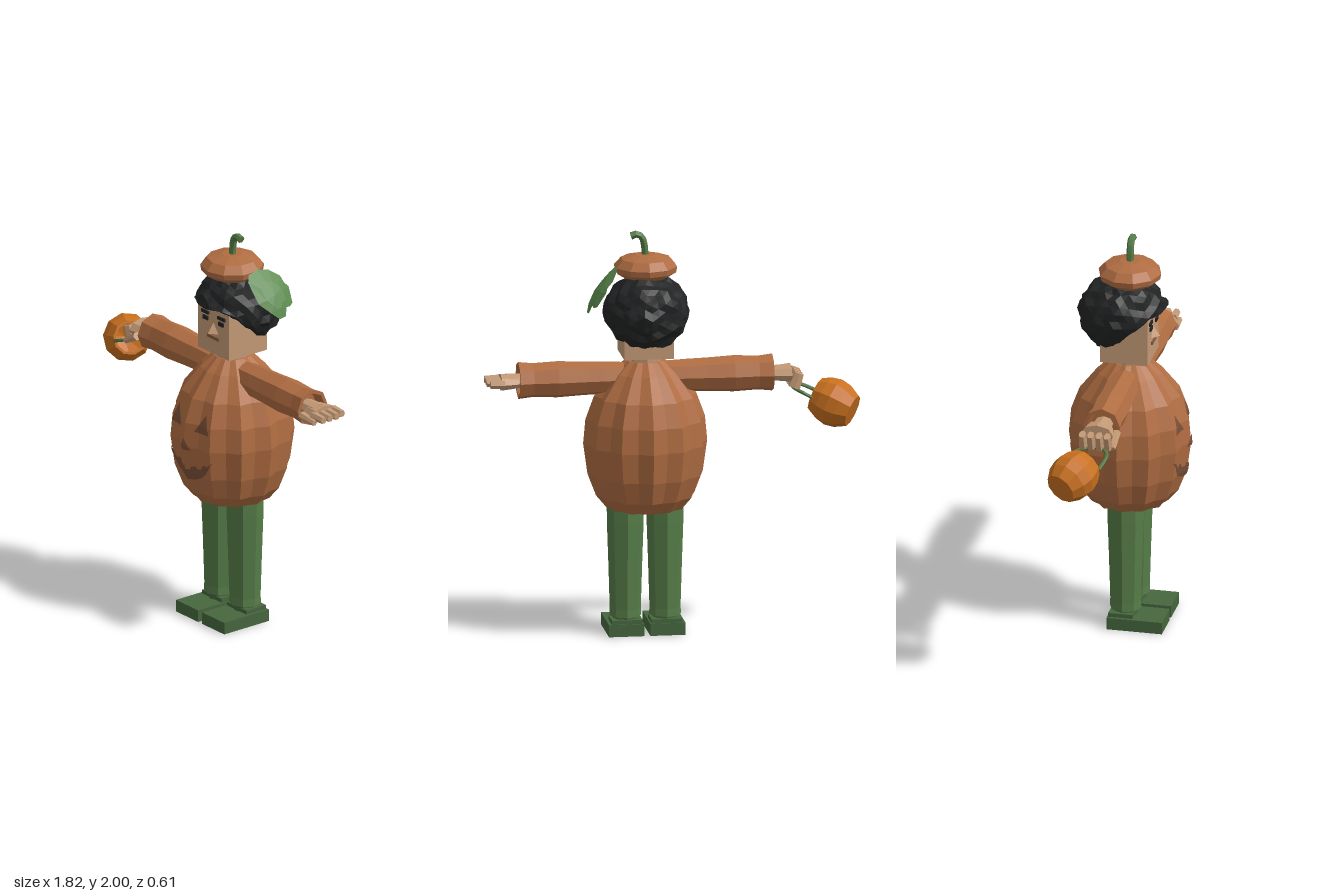
import * as THREE from 'three';

const mat = (name, color, extra = {}) => {
  const m = new THREE.MeshStandardMaterial({ color, flatShading: true, ...extra });
  m.name = name;
  return m;
};
const CX = 0.127; // body axis

// Pumpkin torso profile: [ridge radius, height]
const BODY = [[0, 0.63], [0.19, 0.63], [0.24, 0.69], [0.282, 0.8], [0.303, 0.95], [0.292, 1.07],
  [0.25, 1.185], [0.16, 1.3], [0.095, 1.36], [0, 1.37]];
const GROOVE = 0.92;

// Height of the torso's front surface in z at an offset dx from its axis
function bodyZ(dx, y) {
  const i = BODY.findIndex((p, k) => k > 1 && p[1] >= y);
  const [r0, y0] = BODY[i - 1], [r1, y1] = BODY[i];
  const R = r0 + (r1 - r0) * (y - y0) / (y1 - y0);
  const pt = k => {
    const r = R * (k % 2 ? GROOVE : 1), a = k * Math.PI / 12;
    return [r * Math.sin(a), r * Math.cos(a)];
  };
  const x = Math.abs(dx);
  for (let k = 0; k < 6; k++) {
    const [xa, za] = pt(k), [xb, zb] = pt(k + 1);
    if (x <= xb) return za + (zb - za) * (x - xa) / (xb - xa);
  }
  return 0;
}

// Patch hugging the torso between a lower and an upper curve
function carving(x0, x1, lower, upper, cols = 24, rows = 6) {
  const g = new THREE.PlaneGeometry(1, 1, cols, rows), p = g.attributes.position;
  for (let i = 0; i < p.count; i++) {
    const u = p.getX(i) + 0.5, v = p.getY(i) + 0.5;
    const x = x0 + (x1 - x0) * u, y = lower(u) + (upper(u) - lower(u)) * v;
    p.setXYZ(i, x + CX, y, bodyZ(x, y) + 0.006);
  }
  g.computeVertexNormals();
  return g;
}

const lathe = (pts, sides) => new THREE.LatheGeometry(pts.map(p => new THREE.Vector2(...p)), sides);

export function createModel() {
  const root = new THREE.Group();
  root.name = 'pumpkinCostumeFigure';
  const pumpkin = mat('pumpkinBrown', 0xb06d42), carved = mat('carvedBrown', 0x7a5038, { side: THREE.DoubleSide });
  const skin = mat('skin', 0xc49a76), hairMat = mat('hairBlack', 0x222324);
  const green = mat('trouserGreen', 0x567d48), shoeGreen = mat('shoeGreen', 0x46663d);
  const leafGreen = mat('leafGreen', 0x5c8a4e, { side: THREE.DoubleSide });
  const orange = mat('bucketOrange', 0xc8701f), lip = mat('lipBrown', 0x855a40);

  const add = (name, geo, material, x = 0, y = 0, z = 0, parent = root) => {
    const m = new THREE.Mesh(geo, material);
    m.name = name;
    m.position.set(x, y, z);
    parent.add(m);
    return m;
  };
  const box = (name, material, w, h, d, x, y, z) => add(name, new THREE.BoxGeometry(w, h, d), material, x, y, z);

  // Ribbed torso: every second meridian is pulled in
  const torso = lathe(BODY, 24), tp = torso.attributes.position;
  for (let i = 0; i < tp.count; i++) {
    if (Math.floor(i / BODY.length) % 2) tp.setXYZ(i, tp.getX(i) * GROOVE, tp.getY(i), tp.getZ(i) * GROOVE);
  }
  add('torso', torso, pumpkin, CX);

  // Carved face
  const tent = (base, h, peak = 0.5) => u => base + h * (u < peak ? u / peak : (1 - u) / (1 - peak));
  add('carvedRightEye', carving(-0.14, -0.05, () => 1.035, tent(1.036, 0.095, 0.4), 10), carved);
  add('carvedLeftEye', carving(0.05, 0.14, () => 1.035, tent(1.036, 0.095, 0.6), 10), carved);
  add('carvedNose', carving(-0.037, 0.037, () => 0.935, tent(0.936, 0.06), 10), carved);
  const tooth = u => (Math.floor(u * 10) % 2 ? -0.018 : 0);
  add('carvedMouth', carving(-0.155, 0.155, u => 0.775 + 0.115 * Math.pow(Math.abs(2 * u - 1), 2.5),
    u => 0.848 + 0.047 * (2 * u - 1) ** 2 + tooth(u) * (1 - (2 * u - 1) ** 4), 40), carved);

  for (const s of [-1, 1]) {
    const side = s > 0 ? 'left' : 'right';
    // Legs and shoes
    const lx = CX + s * 0.097;
    add(side + 'TrouserLeg', lathe([[0, 0.092], [0.078, 0.092], [0.076, 0.13], [0.083, 0.36], [0.09, 0.56],
      [0.091, 0.67], [0, 0.67]], 8), green, lx);
    add(side + 'Ankle', new THREE.CylinderGeometry(0.06, 0.06, 0.05, 8), shoeGreen, lx, 0.085, 0);
    box(side + 'Shoe', shoeGreen, 0.172, 0.06, 0.275, lx + s * 0.004, 0.03, 0.062);
    box(side + 'ShoeHeel', shoeGreen, 0.15, 0.03, 0.12, lx, 0.065, -0.01);

    // Sleeve with an open cuff
    const sleeve = add(side + 'Sleeve', lathe([[0, 0.08], [0.075, 0.1], [0.08, 0.2], [0.083, 0.3], [0.09, 0.43],
      [0.084, 0.55], [0.092, 0.62], [0.074, 0.62], [0.06, 0.57], [0, 0.57]], 8), pumpkin, CX, 1.274, 0);
    sleeve.rotation.z = -s * Math.PI / 2;

    // Hand: flat on the left, curled round the bucket handle on the right
    const curl = s < 0;
    const wrist = add(side + 'Wrist', new THREE.CylinderGeometry(0.052, 0.045, 0.12, 8), skin, CX + s * 0.62, 1.272, 0);
    wrist.rotation.z = -s * Math.PI / 2;
    wrist.scale.x = 0.75;
    const palm = add(side + 'Palm', new THREE.CylinderGeometry(0.08, 0.062, 0.085, 8), skin, CX + s * 0.665, 1.27, -0.005);
    palm.rotation.z = -s * Math.PI / 2;
    palm.scale.x = curl ? 0.58 : 0.5;
    for (let f = 0; f < 4; f++) {
      const z = -0.068 + f * 0.041, len = f === 0 ? 0.07 : 0.082;
      const g = new THREE.CylinderGeometry(0.018, 0.023, curl ? 0.075 : len, 6);
      const finger = add(side + 'Finger' + (f + 1), g, skin,
        CX + s * (curl ? 0.73 : 0.695 + len / 2), curl ? 1.245 : 1.272, z);
      finger.rotation.z = curl ? 0.35 : -s * Math.PI / 2;
      if (curl) finger.scale.x = 1.4;
    }
    const thumb = add(side + 'Thumb', new THREE.CylinderGeometry(0.015, 0.022, 0.1, 6), skin,
      CX + s * 0.685, curl ? 1.235 : 1.255, 0.078);
    thumb.rotation.z = -s * (curl ? 2.1 : 1.65);
  }

  // Neck, head and face
  add('neck', new THREE.CylinderGeometry(0.088, 0.088, 0.06, 8), skin, CX, 1.365, 0);
  box('head', skin, 0.243, 0.255, 0.235, 0.124, 1.5125, -0.003);
  const nose = add('nose', new THREE.ConeGeometry(0.04, 0.055, 4), skin, 0.124, 1.525, 0.112);
  nose.scale.z = 0.95;
  box('mouth', lip, 0.088, 0.016, 0.008, 0.127, 1.472, 0.118);
  for (const s of [-1, 1]) {
    box(s > 0 ? 'leftBrow' : 'rightBrow', hairMat, 0.055, 0.016, 0.009, 0.127 + s * 0.063, 1.588, 0.118);
    box(s > 0 ? 'leftEye' : 'rightEye', hairMat, 0.036, 0.02, 0.008, 0.127 + s * 0.06, 1.558, 0.118);
  }

  // Tousled hair: a roughened ball, cut off along a line rising to the brow
  const hair = new THREE.IcosahedronGeometry(1, 5), hp = hair.attributes.position;
  const hash = (x, y, z) => {
    const h = Math.sin(Math.round(x * 500) * 12.99 + Math.round(y * 500) * 78.23 + Math.round(z * 500) * 37.72) * 43758.5;
    return h - Math.floor(h);
  };
  for (let i = 0; i < hp.count; i++) {
    const x = hp.getX(i), y = hp.getY(i), z = hp.getZ(i), n = hash(x, y, z), r = 0.94 + 0.12 * n;
    const pz = -0.037 + z * r * 0.214;
    const cut = Math.max(1.425, Math.min(1.63, 1.605 + (pz - 0.1) * 0.85)) + 0.02 * n;
    hp.setXYZ(i, CX + x * r * 0.203, Math.max(cut, 1.605 + y * r * 0.185), pz);
  }
  hair.computeVertexNormals();
  add('hair', hair, hairMat);
  const lock = add('forelock', new THREE.ConeGeometry(0.06, 0.06, 4), hairMat, 0.13, 1.635, 0.112);
  lock.rotation.x = Math.PI;
  lock.scale.z = 0.5;

  // Pumpkin cap, stem and leaf
  add('cap', lathe([[0, 1.76], [0.1, 1.765], [0.15, 1.797], [0.155, 1.825], [0.122, 1.863], [0.05, 1.882], [0, 1.882]], 10),
    pumpkin, 0.125);
  const v = (x, y, z) => new THREE.Vector3(x, y, z);
  const stemPath = new THREE.CatmullRomCurve3([v(0.128, 1.87, 0), v(0.13, 1.92, 0), v(0.142, 1.965, 0), v(0.165, 1.982, 0), v(0.192, 1.975, 0)]);
  add('stem', new THREE.TubeGeometry(stemPath, 7, 0.018, 6), green);
  const end = add('stemTip', new THREE.CylinderGeometry(0.019, 0.019, 0.008, 6), green, 0.192, 1.975, 0);
  end.rotation.z = -1.85;

  // Lobed leaf as an outline in (z, y), hung down and outwards with a slight bow
  const outline = [[0.037, 1.79], [0.01, 1.825], [-0.04, 1.832], [-0.1, 1.82], [-0.15, 1.785], [-0.155, 1.755],
    [-0.175, 1.735], [-0.165, 1.665], [-0.14, 1.655], [-0.115, 1.66], [-0.1, 1.62], [-0.06, 1.615], [-0.02, 1.65], [0.032, 1.7]];
  const pos = [], leafAt = (z, y) => {
    const t = (1.832 - y) / 0.217;
    return [0.27 + 0.15 * t + 0.03 * Math.sin(Math.PI * t) - 2 * (z + 0.065) ** 2, y, z];
  };
  const ring = (k, f) => {
    const [z, y] = outline[k % outline.length];
    return leafAt(-0.065 + (z + 0.065) * f, 1.725 + (y - 1.725) * f);
  };
  for (let k = 0; k < outline.length; k++) {
    pos.push(...leafAt(-0.065, 1.725), ...ring(k, 0.55), ...ring(k + 1, 0.55));
    pos.push(...ring(k, 0.55), ...ring(k, 1), ...ring(k + 1, 1));
    pos.push(...ring(k, 0.55), ...ring(k + 1, 1), ...ring(k + 1, 0.55));
  }
  const leaf = new THREE.BufferGeometry();
  leaf.setAttribute('position', new THREE.Float32BufferAttribute(pos, 3));
  leaf.computeVertexNormals();
  add('leaf', leaf, leafGreen);

  // Hollow bucket, tipped towards the hand, and its handle
  const bucket = add('bucket', lathe([[0, -0.1], [0.08, -0.1], [0.11, -0.045], [0.119, 0.005], [0.108, 0.055], [0.085, 0.1],
    [0.072, 0.1], [0.098, 0.04], [0.098, -0.04], [0, -0.08]], 10), orange, -0.785, 1.13, -0.075);
  bucket.quaternion.setFromUnitVectors(v(0, 1, 0), v(0.83, 0.34, 0.44).normalize());
  const handlePath = new THREE.CatmullRomCurve3([v(-0.675, 1.165, -0.105), v(-0.64, 1.185, -0.11), v(-0.6, 1.2, -0.06),
    v(-0.59, 1.205, 0.01), v(-0.64, 1.195, 0.06), v(-0.735, 1.155, 0.04)]);
  add('bucketHandle', new THREE.TubeGeometry(handlePath, 14, 0.009, 6), green);
  return root;
}
